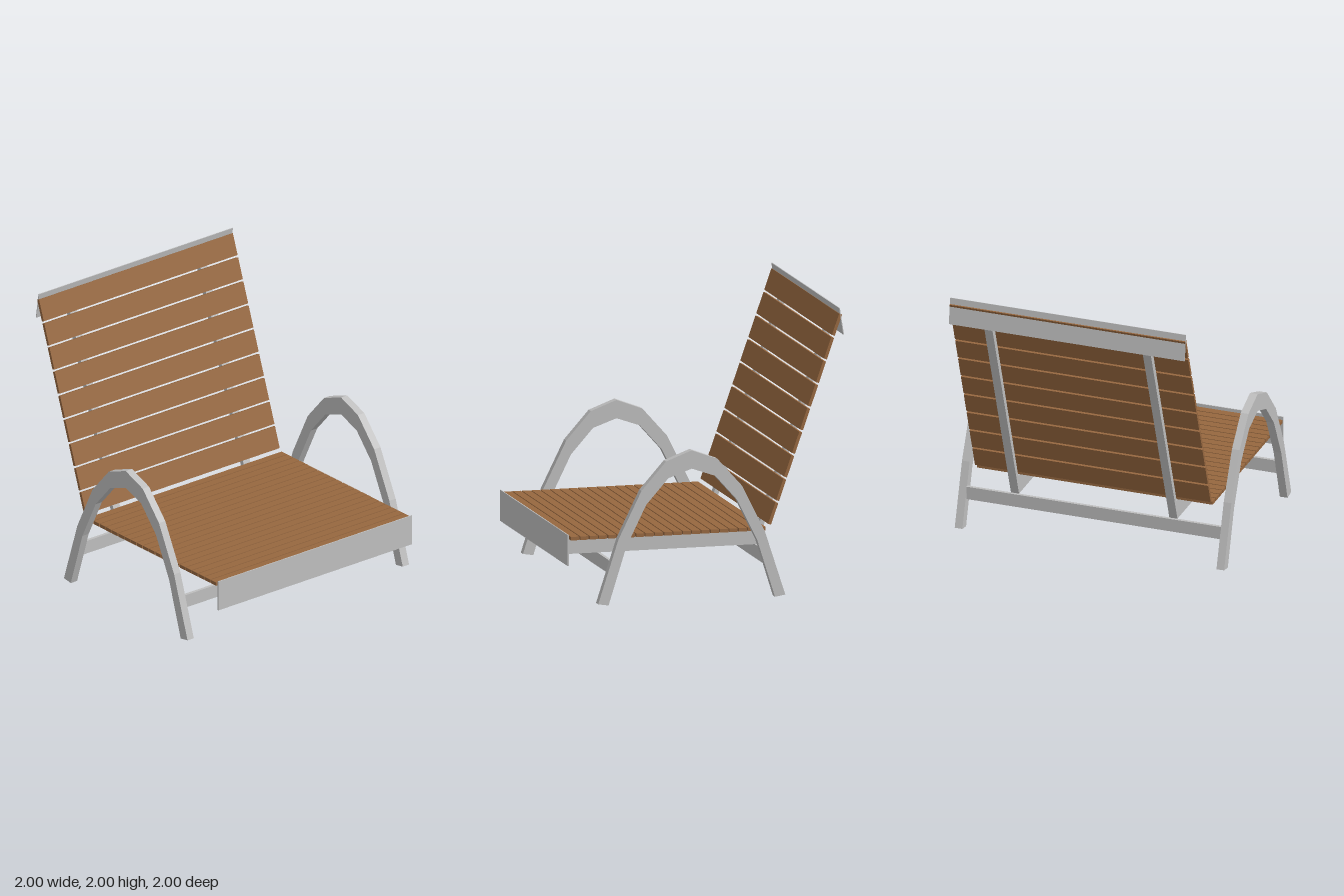
import * as THREE from 'three';

const material = (name, color) => Object.assign(new THREE.MeshStandardMaterial({ color }), { name });

export function createModel() {
  const wood = material('wood', 0x96673f);
  const metal = material('metal', 0xbebebe);
  const model = new THREE.Group();
  model.name = 'loungeChair';

  const add = (parent, name, geometry, mat, x, y, z) => {
    const mesh = new THREE.Mesh(geometry, mat);
    mesh.name = name;
    mesh.position.set(x, y, z);
    parent.add(mesh);
    return mesh;
  };
  const box = (parent, name, mat, w, h, d, x, y, z) =>
    add(parent, name, new THREE.BoxGeometry(w, h, d), mat, x, y, z);

  // Side outline of [z, y] points, given a width along x
  const sidePart = (name, points, width, x) => {
    const shape = new THREE.Shape(points.map(([z, y]) => new THREE.Vector2(z, y)));
    const geometry = new THREE.ExtrudeGeometry(shape, { depth: width, bevelEnabled: false });
    geometry.translate(0, 0, -width / 2).rotateY(-Math.PI / 2);
    return add(model, name, geometry, metal, x, 0, 0);
  };

  const width = 1.75;

  // Seat slats
  for (let i = 0; i < 21; i++) {
    box(model, 'seatSlat', wood, width, 0.025, 0.059, 0, 0.4625, 0.946 - i * 0.0674);
  }

  // Backrest slats, leaning backwards
  const back = new THREE.Group();
  back.name = 'backrest';
  back.position.set(0, 0.495, -0.45);
  back.rotation.x = -Math.atan2(0.514, 1.465);
  model.add(back);
  for (let i = 0; i < 9; i++) {
    box(back, 'backSlat', wood, width, 0.158, 0.022, 0, 0.079 + i * 0.1743, -0.011);
  }

  // Front apron and top cap
  box(model, 'frontPanel', metal, width, 0.22, 0.008, 0, 0.38, 0.996);
  const cap = box(model, 'topCap', metal, width, 0.192, 0.006, 0, 1.905, -0.981);
  cap.rotation.x = Math.atan2(0.03, 0.19);

  // Cross bars between the arches
  for (const z of [0.697, -0.443]) {
    box(model, 'crossBar', metal, 1.89, 0.095, 0.023, 0, 0.2525, z);
  }

  // Arch outline: half widths and heights from foot to crown
  const outer = [[0.677, 0.012], [0.53, 0.465], [0.364, 0.8], [0.186, 1], [0, 1.07]];
  const inner = [[0, 0.94], [0.17, 0.88], [0.33, 0.7], [0.475, 0.405], [0.602, 0]];
  const mid = 0.1375;
  const side = (points, s) => points.map(([z, y]) => [mid + s * z, y]);
  const arch = [
    ...side(outer, 1),
    ...side(outer.slice(0, -1).reverse(), -1),
    ...side(inner.slice().reverse(), -1),
    ...side(inner.slice(1), 1),
  ];
  const backRail = [[-0.44, 0.45], [-0.443, 0.305], [-0.992, 1.84], [-0.976, 1.92], [-0.458, 0.45]];

  // Paired frame parts
  for (const s of [-1, 1]) {
    sidePart('armArch', arch, 0.057, s * 0.9715);
    box(model, 'seatRail', metal, 0.06, 0.145, 1.432, s * 0.588, 0.3775, 0.276);
    sidePart('backRail', backRail, 0.06, s * 0.588);
  }
  return model;
}
